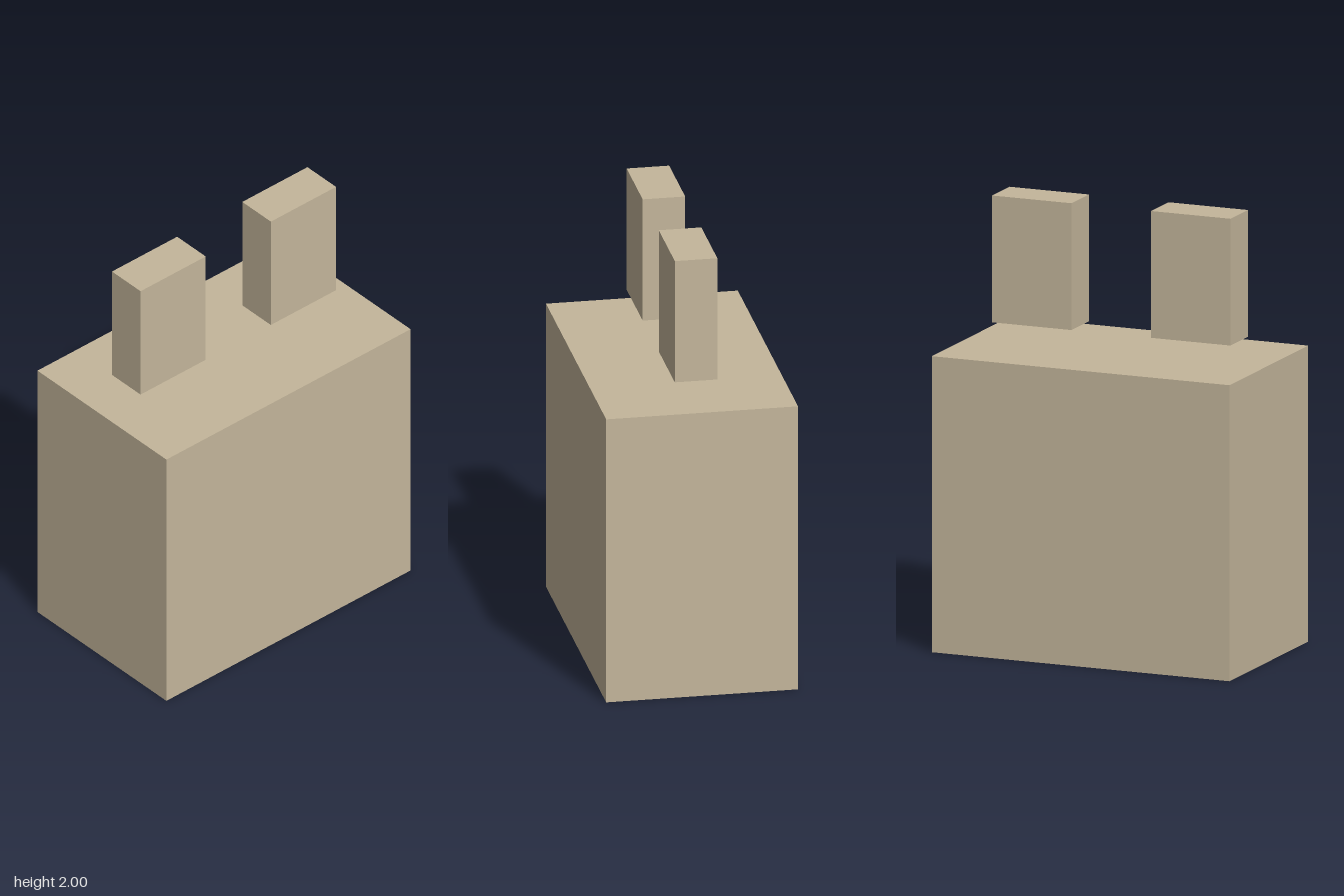
import * as THREE from 'three';

const material = new THREE.MeshStandardMaterial({ color: 0xc4b69b });

// Box standing on a given base height
function block(name, width, height, depth, x, base) {
  const mesh = new THREE.Mesh(new THREE.BoxGeometry(width, height, depth), material);
  mesh.name = name;
  mesh.position.set(x, base + height / 2, 0);
  return mesh;
}

export function createModel() {
  const model = new THREE.Group();
  model.name = 'model';

  // Main body
  model.add(block('body', 1.428, 1.333, 0.857, 0, 0));

  // Mirrored pair of upright blocks, hovering just above the body
  for (const [name, side] of [['leftProng', 1], ['rightProng', -1]]) {
    model.add(block(name, 0.381, 0.571, 0.19, side * 0.381, 1.429));
  }

  return model;
}
